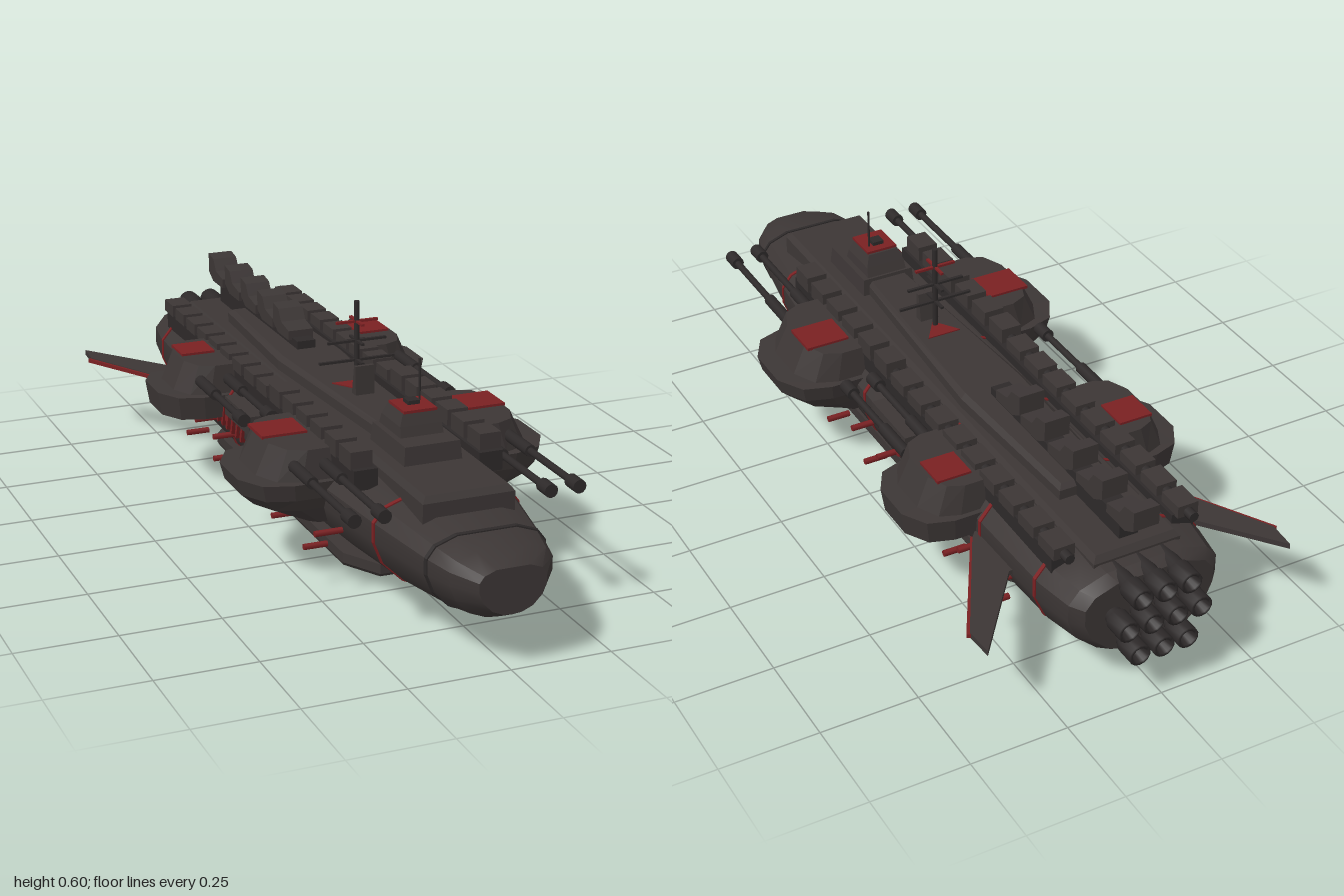
import * as THREE from 'three';
import { toCreasedNormals } from 'three/addons/utils/BufferGeometryUtils.js';

const mat = (name, color) => {
  const m = new THREE.MeshStandardMaterial({ color });
  m.name = name;
  return m;
};

export function createModel() {
  const model = new THREE.Group();
  model.name = 'spaceship';
  const hullGrey = mat('hull grey', 0x3c3635);
  const darkGrey = mat('dark grey', 0x2d2929);
  const red = mat('dark red', 0x7a2022);
  const violet = mat('lens violet', 0x3c2c55);

  const add = (name, geo, material, x = 0, y = 0, z = 0) => {
    const m = new THREE.Mesh(geo, material);
    m.name = name;
    m.position.set(x, y, z);
    model.add(m);
    return m;
  };
  const box = (name, material, w, h, d, x, y, z) => add(name, new THREE.BoxGeometry(w, h, d), material, x, y, z);
  const rod = (name, material, r, len, axis, x, y, z, sides = 12) => {
    const g = new THREE.CylinderGeometry(r, r, len, sides);
    if (axis === 'z') g.rotateX(Math.PI / 2);
    if (axis === 'x') g.rotateZ(Math.PI / 2);
    return add(name, g, material, x, y, z);
  };

  // Skin a closed, faceted solid over a row of rings
  const loft = (rings, caps = true) => {
    const p = [];
    const tri = (a, b, c) => p.push(...a, ...b, ...c);
    const n = rings[0].length;
    for (let i = 0; i < rings.length - 1; i++) for (let j = 0; j < n; j++) {
      const k = (j + 1) % n, a = rings[i], b = rings[i + 1];
      tri(a[j], a[k], b[k]);
      tri(a[j], b[k], b[j]);
    }
    if (caps) for (const end of [0, rings.length - 1]) {
      const r = rings[end];
      const c = [0, 1, 2].map(q => r.reduce((s, v) => s + v[q], 0) / n);
      for (let j = 0; j < n; j++) {
        const k = (j + 1) % n;
        if (end) tri(c, r[j], r[k]); else tri(c, r[k], r[j]);
      }
    }
    const g = new THREE.BufferGeometry();
    g.setAttribute('position', new THREE.Float32BufferAttribute(p, 3));
    g.computeVertexNormals();
    return g;
  };
  // Upright solid from an [x, z] outline, levels are [y, xScale, zScale] about (cx, cz)
  const stack = (outline, levels, side = 1, cx = 0, cz = 0) => loft(levels.map(([y, sx = 1, sz = 1]) => {
    const r = outline.map(([x, z]) => [side * (cx + (x - cx) * sx), y, cz + (z - cz) * sz]);
    return side < 0 ? r.reverse() : r;
  }));
  const rect = (w, z0, z1) => [[-w, z0], [w, z0], [w, z1], [-w, z1]];
  // Side profile of [z, y] points with a width across x
  const profile = (pts, w) => {
    const s = new THREE.Shape(pts.map(([z, y]) => new THREE.Vector2(z, y)));
    return new THREE.ExtrudeGeometry(s, { depth: w, bevelEnabled: false }).rotateY(-Math.PI / 2).translate(w / 2, 0, 0);
  };

  // Main hull: z, half width, bottom, top
  const stations = [
    [-0.93, 0.17, 0.095, 0.305], [-0.9, 0.197, 0.08, 0.318], [-0.8, 0.214, 0.065, 0.322], [-0.5, 0.22, 0.05, 0.322],
    [0, 0.22, 0.045, 0.322], [0.4, 0.21, 0.052, 0.314], [0.65, 0.183, 0.066, 0.302],
    [0.86, 0.146, 0.09, 0.28], [0.94, 0.126, 0.105, 0.27], [1, 0.082, 0.135, 0.247]];
  const half = [[0.28, 0.02], [0.6, 0.12], [0.88, 0.33], [1, 0.56], [1, 0.76], [0.86, 0.9], [0.5, 1]];
  const loop = [[0, 0], ...half, ...half.map(([x, y]) => [-x, y]).reverse()];
  const hullRing = (z, grow = 0) => {
    let i = 0;
    while (i < stations.length - 2 && stations[i + 1][0] < z) i++;
    const a = stations[i], b = stations[i + 1], t = (z - a[0]) / (b[0] - a[0]);
    const [w, lo, hi] = [1, 2, 3].map(k => a[k] + (b[k] - a[k]) * t);
    return loop.map(([x, y]) => [x * (w + grow), lo - grow + (hi - lo + 2 * grow) * y, z]);
  };
  add('hull', toCreasedNormals(loft(stations.map(s => hullRing(s[0]))), 0.5), hullGrey);
  const band = (name, z, material) => add(name, loft([hullRing(z - 0.005, 0.003), hullRing(z + 0.005, 0.003)]), material);
  for (const z of [0.65, 0.08, -0.24, -0.53, -0.78]) band('hullStripe', z, red);
  band('noseSeam', 0.86, darkGrey);

  // Stepped upper decks
  add('lowerDeck', stack(rect(0.115, 0.77, -0.87), [[0.27], [0.325, 1, 1], [0.34, 0.9, 0.985]], 1, 0, -0.05), hullGrey);
  const deck = [[-0.055, 0.4], [0.055, 0.4], [0.092, -0.2], [0.07, -0.64], [-0.07, -0.64], [-0.092, -0.2]];
  add('upperDeck', stack(deck, [[0.33], [0.365], [0.376, 0.85, 0.98]]), hullGrey);
  add('towerBase', stack(rect(0.076, 0.575, 0.37), [[0.32], [0.385, 0.92, 0.94]], 1, 0, 0.47), hullGrey);

  // Command tower
  add('tower', stack(rect(0.056, 0.51, 0.38), [[0.38], [0.41, 0.95, 0.85], [0.44, 0.75, 0.68]], 1, 0, 0.45), hullGrey);
  box('towerRoof', red, 0.085, 0.007, 0.09, 0, 0.443, 0.453);
  box('towerHatch', darkGrey, 0.03, 0.012, 0.03, 0, 0.45, 0.445);
  rod('towerAntenna', darkGrey, 0.003, 0.11, 'y', 0.025, 0.495, 0.435, 8);

  // Main mast with crossed yards
  rod('mast', darkGrey, 0.007, 0.23, 'y', 0, 0.487, 0.11);
  [[0.45, 0.2, darkGrey], [0.5, 0.156, darkGrey], [0.55, 0.11, red]].forEach(([y, w, m]) => {
    box('mastYard', m, w, 0.006, 0.008, 0, y, 0.11);
    box('mastYard', m, 0.008, 0.006, 0.08, 0, y, 0.11);
  });
  add('mastFin', profile([[0.14, 0.375], [0.165, 0.375], [0.163, 0.45], [0.153, 0.45]], 0.05), hullGrey);
  add('deckChevron', stack([[-0.045, 0.06], [0, 0.125], [0.045, 0.06]], [[0.374], [0.379]]), red);

  // Dorsal spine with raked blocks
  box('spineBase', darkGrey, 0.05, 0.06, 0.6, 0, 0.367, -0.53);
  for (const z of [-0.27, -0.39, -0.52, -0.65, -0.785]) {
    add('spineBlock', profile([[z, 0.39], [z, 0.415], [z - 0.055, 0.425], [z - 0.075, 0.455],
      [z - 0.115, 0.462], [z - 0.115, 0.41], [z - 0.08, 0.39]], 0.068), hullGrey);
  }

  // Engine cluster
  const nozzle = new THREE.LatheGeometry([[0.022, -0.08], [0.022, 0.03], [0.028, 0.035], [0.028, 0.09], [0.02, 0.09], [0.014, 0.06], [0, 0.06]]
    .map(([x, y]) => new THREE.Vector2(x, y)), 14).rotateX(-Math.PI / 2);
  [[0.298, 3], [0.218, 4], [0.138, 3]].forEach(([y, n]) => {
    for (let i = 0; i < n; i++) add('engineNozzle', nozzle, darkGrey, (i - (n - 1) / 2) * 0.064, y, -0.91);
  });

  for (const s of [1, -1]) {
    // Segmented rails beside the deck
    box('railBase', darkGrey, 0.06, 0.05, 1.36, s * 0.16, 0.312, -0.13);
    for (let i = 0; i < 15; i++) {
      const z = 0.5 - i * 0.092;
      box('railBlock', hullGrey, 0.055, z > 0 ? 0.044 : 0.032, 0.07, s * 0.165, z > 0 ? 0.356 : 0.349, z);
      rod('railPipe', darkGrey, 0.013, 0.03, 'z', s * 0.165, 0.345, z - 0.046, 8);
    }

    // Gun sponsons, fore and aft
    [[0.275, 0.155, 0.4, 0.155, 0.23, 0.32, 0.245, 0.1], [-0.38, 0.137, 0.378, 0.2, 0.21, 0.295, -0.415, 0.09]]
      .forEach(([z, h, out, low, mid, panelX, panelZ, panelD], i) => {
        const d = out - 0.18;
        const outline = [[0.18, z + h], [0.18 + d * 0.5, z + h], [0.18 + d * 0.82, z + h * 0.85], [out, z + h * 0.4],
          [out, z - h * 0.4], [0.18 + d * 0.82, z - h * 0.85], [0.18 + d * 0.5, z - h], [0.18, z - h]];
        add('sponson', stack(outline, [[low, 0.3, 0.75], [0.2 + i * 0.01, 0.8, 0.88], [mid, 0.95, 0.95], [0.272, 1, 1],
          [0.274, 0.78, 0.92], [0.348, 0.62, 0.85]], s, 0.18, z), hullGrey);
        box('sponsonPanel', red, panelX - 0.205, 0.008, panelD, s * (panelX + 0.205) / 2, 0.35, panelZ);
        // Twin barrels with sleeves and muzzles
        const muzzle = i ? 0.06 : 0.77, root = z + h * 0.8;
        for (const x of [0.207, 0.28]) {
          rod('gunBarrel', darkGrey, 0.009, muzzle - root, 'z', s * x, 0.31, (muzzle + root) / 2);
          rod('gunSleeve', darkGrey, 0.015, 0.12, 'z', s * x, 0.31, root + 0.06);
          rod('gunMuzzle', darkGrey, 0.017, 0.045, 'z', s * x, 0.31, muzzle - 0.022);
        }
      });

    // Swept wing with a painted leading edge
    const wing = [[0.18, -0.46], [0.24, -0.53], [0.41, -0.83], [0.405, -0.905], [0.225, -0.68], [0.18, -0.68]];
    add('wing', stack(wing, [[0.203], [0.217]], s), hullGrey);
    add('wingEdge', stack([[0.24, -0.52], [0.419, -0.83], [0.409, -0.836], [0.235, -0.53]], [[0.205], [0.215]], s), red);

    // Side studs in two rows
    for (let i = 0; i < 9; i++) rod('sideStud', red, 0.008, 0.07, 'x', s * 0.23, 0.17, 0.49 - i * 0.142, 8);
    for (let i = 0; i < 6; i++) rod('lowerStud', red, 0.008, 0.06, 'x', s * 0.235, 0.11, 0.42 - i * 0.213, 8);

    // Slanted side vents
    for (let i = 0; i < 7; i++) box('sideVent', red, 0.016, 0.06, 0.011, s * 0.22, 0.215, -0.11 - i * 0.035).rotation.x = 0.3;
    box('sideLocker', hullGrey, 0.04, 0.05, 0.18, s * 0.222, 0.265, -0.1);
  }

  // Belly plate with stripes, lens and keel
  const belly = [[-0.1, 0.5], [0.1, 0.5], [0.156, 0.4], [0.156, -0.5], [0.11, -0.56], [-0.11, -0.56], [-0.156, -0.5], [-0.156, 0.4]];
  add('bellyPlate', stack(belly, [[0.035, 0.97, 0.98], [0.045], [0.07]]), hullGrey);
  for (const x of [-0.12, -0.075, -0.03, 0.03, 0.075, 0.12]) box('bellyStripe', red, 0.014, 0.006, 0.82, x, 0.034, -0.02);
  add('lensRim', new THREE.CylinderGeometry(0.112, 0.085, 0.022, 24), darkGrey, 0, 0.026, -0.12);
  add('lens', new THREE.CylinderGeometry(0.07, 0.07, 0.006, 24), violet, 0, 0.013, -0.12);
  add('keel', profile([[-0.55, 0.07], [-0.575, 0.003], [-0.77, 0], [-0.79, 0.08]], 0.08), hullGrey);
  return model;
}
